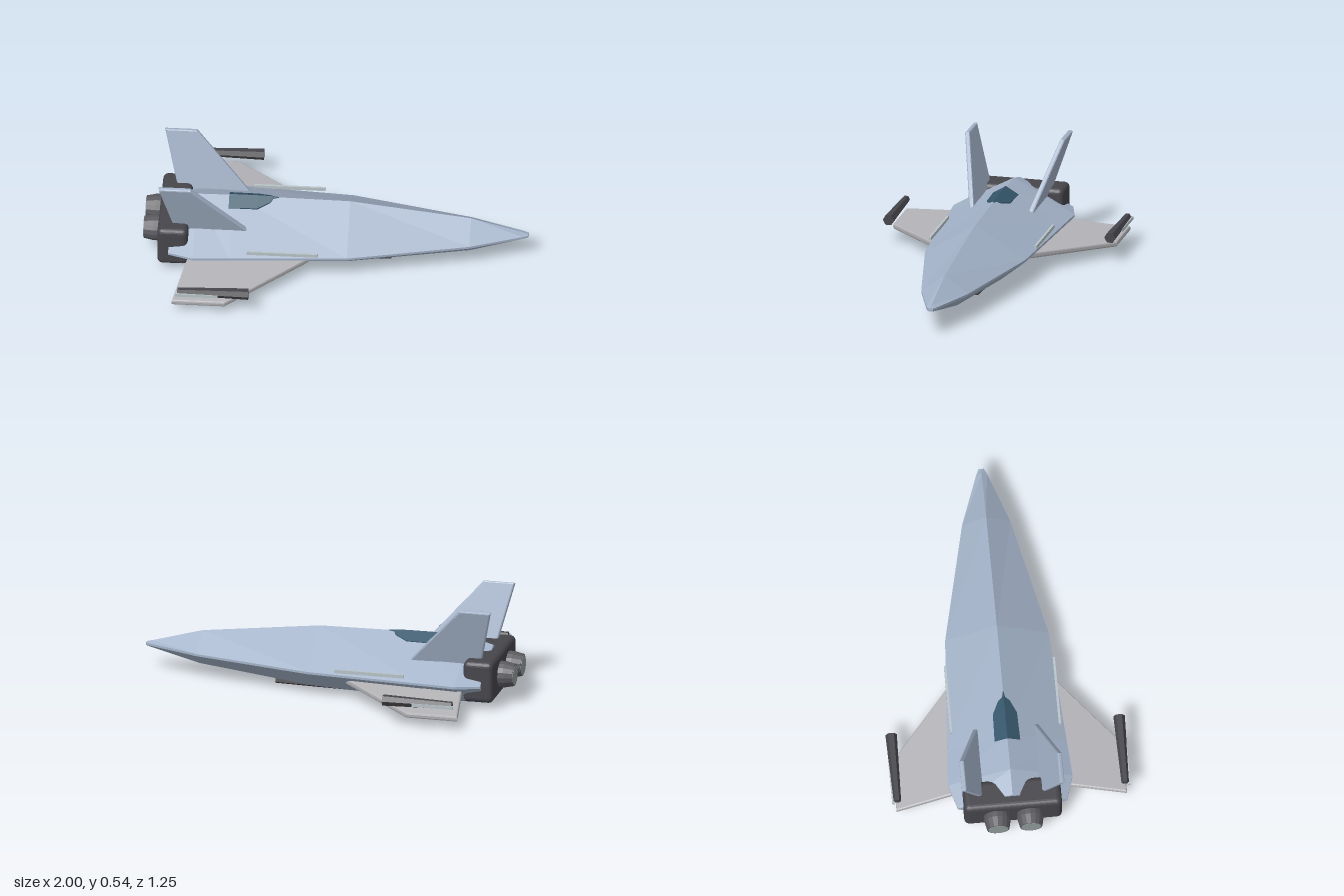
import * as THREE from 'three';
import { RoundedBoxGeometry } from 'three/addons/geometries/RoundedBoxGeometry.js';

const paint = (color) => new THREE.MeshStandardMaterial({ color, flatShading: true });
const HULL = paint(0xa3b2c8), WING = paint(0xb4b4b8), DARK = paint(0x45454b);
const BELLY = paint(0x36363a), GLASS = paint(0x35566b), NOZZLE = paint(0x5a5a5f);
const TRIM = paint(0xb8c4c8), EXHAUST = paint(0x8f9898);

// Skin over rings of [x, y, z] running from rear to front, each ring top -> +z -> bottom -> -z
function loft(rings) {
  const pos = [];
  const tri = (...corners) => corners.forEach((c) => pos.push(...c));
  const n = rings[0].length;
  for (let s = 0; s < rings.length - 1; s++) {
    const r = rings[s], f = rings[s + 1];
    for (let i = 0; i < n; i++) {
      const j = (i + 1) % n;
      tri(r[i], r[j], f[j]);
      tri(r[i], f[j], f[i]);
    }
  }
  const rear = rings[0], front = rings[rings.length - 1];
  for (let i = 1; i < n - 1; i++) {
    tri(rear[0], rear[i + 1], rear[i]);
    tri(front[0], front[i], front[i + 1]);
  }
  const g = new THREE.BufferGeometry();
  g.setAttribute('position', new THREE.Float32BufferAttribute(pos, 3));
  g.computeVertexNormals();
  return g;
}

// Flat panel with rounded rim: outline in (x, span)
function panel(outline, thickness) {
  const bevel = thickness * 0.3;
  const shape = new THREE.Shape(outline.map(([x, s]) => new THREE.Vector2(x, s)));
  const g = new THREE.ExtrudeGeometry(shape, {
    depth: thickness - 2 * bevel, bevelThickness: bevel, bevelSize: bevel, bevelOffset: -bevel, bevelSegments: 2,
  });
  return g.translate(0, 0, bevel - thickness / 2);
}

export function createModel() {
  const model = new THREE.Group();
  const add = (name, geometry, material, x = 0, y = 0, z = 0) => {
    const mesh = new THREE.Mesh(geometry, material);
    mesh.name = name;
    mesh.position.set(x, y, z);
    model.add(mesh);
    return mesh;
  };

  // Hull: [x, ridge height, chine height, chine half width, keel height, keel half width]
  const stations = [
    [-0.86, 0.28, 0.135, 0.285, 0.035, 0.15],
    [-0.73, 0.318, 0.135, 0.325, 0.015, 0.17],
    [-0.54, 0.32, 0.135, 0.312, 0.012, 0.17],
    [0.07, 0.31, 0.135, 0.27, 0.025, 0.14],
    [0.70, 0.232, 0.135, 0.126, 0.073, 0.065],
    [0.97, 0.155, 0.138, 0.028, 0.122, 0.014],
    [1.00, 0.146, 0.138, 0.014, 0.128, 0.008],
  ];
  add('hull', loft(stations.map(([x, top, cy, cz, ky, kz]) => [
    [x, top, 0], [x, cy + 0.006, cz], [x, cy - 0.006, cz],
    [x, ky, kz], [x, ky, -kz], [x, cy - 0.006, -cz], [x, cy + 0.006, -cz],
  ])), HULL);

  // Canopy: a roof-shaped cover lying just over the ridge
  const canopy = [[-0.56, 0.325, 0.067], [-0.41, 0.324, 0.063], [-0.345, 0.322, 0.03], [-0.33, 0.321, 0.008], [-0.3, 0.318, 0.002]];
  add('canopy', loft(canopy.map(([x, y, w]) => [
    [x, y, 0], [x, y - w * 0.6, w], [x, y - w * 0.6 - 0.02, w],
    [x, y - w * 0.6 - 0.02, -w], [x, y - w * 0.6, -w],
  ])), GLASS);

  // Belly plate, wider at the rear, with a chamfered lower rim
  add('bellyPlate', loft([[-0.76, 0.13], [0.29, 0.08]].map(([x, w]) => [
    [x, 0.045, 0], [x, 0.045, w - 0.01], [x, 0.008, w], [x, 0, w - 0.01],
    [x, 0, 0.01 - w], [x, 0.008, -w], [x, 0.045, 0.01 - w],
  ])), BELLY);

  // Engine block at the stern
  add('engineBlock', new RoundedBoxGeometry(0.16, 0.222, 0.51, 3, 0.028), DARK, -0.84, 0.15, 0);

  const finOutline = [[-0.435, -0.03], [-0.745, 0.33], [-0.912, 0.33], [-0.83, -0.03]];
  const wingOutline = [[-0.13, 0], [-0.545, 0.363], [-0.82, 0.363], [-0.755, 0]];
  for (const side of [1, -1]) {
    const label = side > 0 ? 'right' : 'left';

    // Canted tail fin and drooping wing
    add(label + 'Fin', panel(finOutline, 0.026), HULL, 0, 0.225, side * 0.16).rotation.x = side * 0.3;
    add(label + 'Wing', panel(wingOutline, 0.03), WING, 0, 0.096, side * 0.24).rotation.x = side * (Math.PI / 2 + 0.1);

    // Six-sided wingtip pod, slimmer at the tail, with a thin rail
    const pod = new THREE.CylinderGeometry(0.03, 0.02, 0.37, 6).rotateZ(-Math.PI / 2);
    add(label + 'Pod', pod, DARK, -0.605, 0.133, side * 0.595);
    add(label + 'PodRail', new THREE.BoxGeometry(0.22, 0.017, 0.014), TRIM, -0.69, 0.126, side * 0.615);

    // Thin strip along the hull edge
    add(label + 'HullStrip', new THREE.BoxGeometry(0.37, 0.018, 0.012), TRIM, -0.265, 0.163, side * 0.284);

    // Exhaust nozzle with a pale end disc
    const profile = [[0, -0.06], [0.069, -0.06], [0.069, 0.03], [0.058, 0.08], [0, 0.08]];
    const nozzle = new THREE.LatheGeometry(profile.map(([r, h]) => new THREE.Vector2(r, h)), 16).rotateZ(Math.PI / 2);
    add(label + 'Nozzle', nozzle, NOZZLE, -0.918, 0.153, side * 0.086);
    const disc = new THREE.CylinderGeometry(0.052, 0.052, 0.004, 16).rotateZ(Math.PI / 2);
    add(label + 'ExhaustDisc', disc, EXHAUST, -0.998, 0.153, side * 0.086);
  }
  return model;
}
